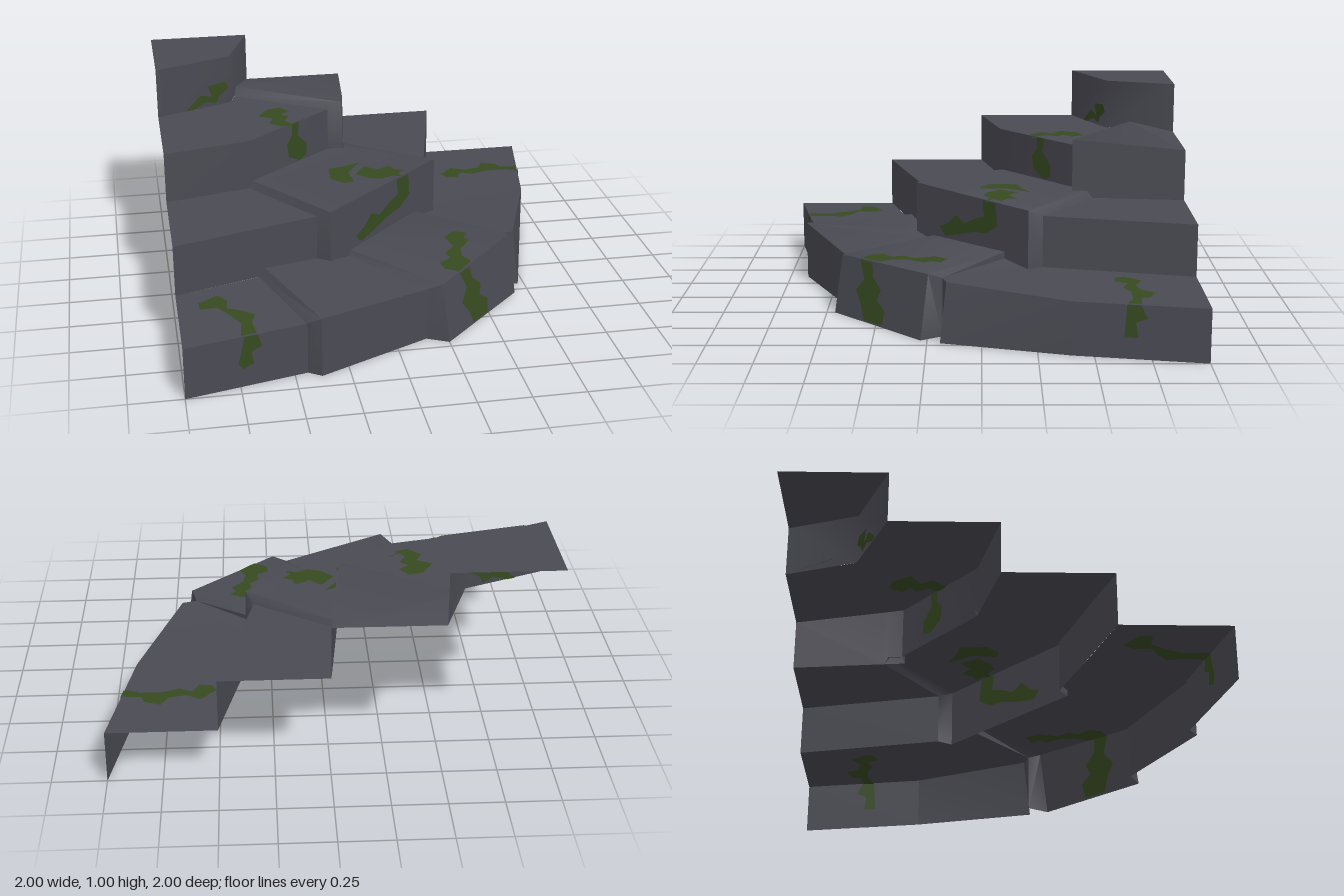
import * as THREE from 'three';
import { toCreasedNormals } from 'three/addons/utils/BufferGeometryUtils.js';

const stone = new THREE.MeshStandardMaterial({ color: 0x4a4a53, side: THREE.DoubleSide });
stone.name = 'dark stone';
const moss = new THREE.MeshStandardMaterial({ color: 0x364a1f, side: THREE.DoubleSide });
moss.name = 'moss green';

function toMesh(name, triangles, material) {
  let g = new THREE.BufferGeometry().setFromPoints(triangles.map((p) => new THREE.Vector3(...p)));
  g.computeVertexNormals();
  g = toCreasedNormals(g, 0.9);
  const mesh = new THREE.Mesh(g, material);
  mesh.name = name;
  return mesh;
}

// A step stone: a tread polygon whose first points pair with the foot points to form risers
function stepStone(name, foot, top) {
  const tris = [];
  const contour = top.map(([x, , z]) => new THREE.Vector2(x, -z));
  for (const f of THREE.ShapeUtils.triangulateShape(contour, [])) tris.push(...f.map((i) => top[i]));
  for (let i = 0; i < foot.length - 1; i++) {
    const [a, b, c, d] = [foot[i], foot[i + 1], top[i + 1], top[i]];
    if (c !== d) tris.push(a, b, c, a, c, d);
    else tris.push(a, b, c);
  }
  return toMesh(name, tris, stone);
}

// Plain stone with a level tread; the first n points are the outer edge
function plainStone(name, y, n, outline) {
  const at = (h) => ([x, z]) => [x, h, z];
  return stepStone(name, outline.slice(0, n).map(at(y - 0.25)), outline.map(at(y)));
}

// Flush moss plate: outline in two coordinates, mapped onto a stone face
function mossPatch(name, outline, map, dir) {
  const contour = outline.map((p) => new THREE.Vector2(...p));
  const faces = THREE.ShapeUtils.triangulateShape(contour, []);
  const tris = [];
  for (const s of [0.0045, -0.0045]) {
    for (const f of faces) {
      tris.push(...f.map((i) => map(...outline[i]).map((v, k) => v + dir[k] * s)));
    }
  }
  return toMesh(name, tris, moss);
}

export function createModel() {
  const group = new THREE.Group();
  group.name = 'cornerStairs';

  // Top step
  group.add(plainStone('topStep', 1, 3, [[-1, -0.5], [-0.62, -0.66], [-0.5, -1], [-1, -1]]));

  // Third step
  group.add(plainStone('thirdStepFront', 0.75, 3,
    [[-1, 0], [-0.58, -0.1], [-0.14, -0.46], [-0.59, -0.74], [-0.62, -0.66], [-1, -0.5]]));
  const t3 = [-0.07, 0.79, -0.45];
  group.add(stepStone('thirdStepSide',
    [[-0.59, 0.75, -0.74], [-0.14, 0.75, -0.46], [-0.14, 0.5, -0.46], [-0.06, 0.5, -0.45], [-0.05, 0.5, -0.55], [0, 0.5, -1]],
    [[-0.58, 0.79, -0.78], t3, t3, t3, [-0.05, 0.785, -0.55], [0, 0.75, -1], [-0.5, 0.75, -1]]));

  // Second step, with a raised corner stone
  group.add(plainStone('secondStepFront', 0.5, 2, [[-1, 0.5], [-0.31, 0.29], [-0.58, -0.1], [-1, 0]]));
  const l2 = [-0.25, 0.535, 0.33], r2 = [0.37, 0.535, -0.22];
  group.add(stepStone('secondStepCorner',
    [[-0.59, 0.5, -0.1], [-0.31, 0.5, 0.29], [-0.31, 0.25, 0.29], [-0.25, 0.25, 0.33],
      [0.37, 0.25, -0.22], [0.33, 0.25, -0.29], [0.33, 0.5, -0.29], [-0.05, 0.5, -0.55]],
    [[-0.57, 0.535, -0.11], l2, l2, l2, r2, r2, r2, [-0.06, 0.535, -0.53], [-0.06, 0.535, -0.45], [-0.14, 0.535, -0.46]]));
  group.add(plainStone('secondStepSide', 0.5, 2, [[0.33, -0.29], [0.5, -1], [0, -1], [-0.05, -0.55]]));

  // Bottom step
  group.add(plainStone('bottomStepFront', 0.25, 2, [[-1, 1], [-0.44, 0.87], [-0.6, 0.38], [-1, 0.5]]));
  const b = [-0.38, 0.29, 0.91];
  group.add(stepStone('bottomStepFrontCorner',
    [[-0.6, 0.25, 0.38], [-0.44, 0.25, 0.87], [-0.44, 0, 0.87], [-0.38, 0, 0.91], [0.15, 0, 0.66]],
    [[-0.57, 0.29, 0.37], b, b, b, [0.15, 0.26, 0.66], [-0.15, 0.26, 0.25], [-0.25, 0.28, 0.33], [-0.31, 0.28, 0.29]]));
  const tilt = (x, z) => [x, 0.295 + 0.025 * (x - z), z];
  const lc = tilt(0.223, 0.67), rc = tilt(0.644, 0.244);
  group.add(stepStone('bottomStepCorner',
    [[-0.15, 0.26, 0.25], [0.15, 0.26, 0.66], [0.15, 0, 0.66], [0.25, 0, 0.71],
      [0.68, 0, 0.28], [0.62, 0, 0.18], [0.62, 0.28, 0.18], [0.25, 0.27, -0.11]],
    [tilt(-0.14, 0.24), lc, lc, lc, rc, rc, rc, tilt(0.25, -0.11)]));
  group.add(stepStone('bottomStepSideCorner',
    [[0.62, 0, 0.18], [0.72, 0, 0.19], [0.89, 0, -0.4]],
    [[0.62, 0.28, 0.18], [0.69, 0.28, 0.16], [0.89, 0.25, -0.4], [0.33, 0.25, -0.29], [0.37, 0.25, -0.22], [0.25, 0.27, -0.11]]));
  group.add(plainStone('bottomStepSide', 0.25, 2, [[0.89, -0.4], [1, -1], [0.5, -1], [0.33, -0.29]]));

  // Moss on the treads, outlines in x and z
  const up = [0, 1, 0];
  const level = (y) => (x, z) => [x, y, z];
  const treadMoss = (name, map, pts) => group.add(mossPatch(name, pts, map, up));
  treadMoss('thirdTreadMoss', level(0.75),
    [[-0.45, -0.5], [-0.38, -0.52], [-0.34, -0.46], [-0.39, -0.42], [-0.35, -0.39], [-0.38, -0.33],
      [-0.34, -0.27], [-0.4, -0.25], [-0.46, -0.31], [-0.43, -0.37], [-0.5, -0.41]]);
  treadMoss('secondTreadMossLeft', level(0.535),
    [[-0.18, -0.18], [-0.09, -0.2], [-0.01, -0.24], [-0.05, -0.18], [-0.09, -0.12], [-0.08, 0], [-0.13, 0.01], [-0.19, -0.05]]);
  treadMoss('secondTreadMossRight', level(0.535),
    [[-0.06, -0.09], [0, -0.18], [0.06, -0.13], [0.13, -0.17], [0.14, -0.12], [0.19, -0.1],
      [0.15, -0.06], [0.17, -0.02], [0.12, -0.04], [0.06, -0.01], [0, -0.03]]);
  treadMoss('cornerTreadMoss', tilt,
    [[0.33, 0.22], [0.38, 0.16], [0.45, 0.19], [0.42, 0.23], [0.44, 0.27], [0.38, 0.35], [0.37, 0.42], [0.4, 0.48],
      [0.35, 0.54], [0.32, 0.57], [0.26, 0.53], [0.25, 0.47], [0.31, 0.43], [0.3, 0.37], [0.35, 0.32]]);
  treadMoss('frontTreadMoss', level(0.25),
    [[-0.9, 0.6], [-0.81, 0.54], [-0.77, 0.6], [-0.78, 0.67], [-0.72, 0.7], [-0.66, 0.75], [-0.68, 0.82],
      [-0.67, 0.92], [-0.74, 0.935], [-0.73, 0.82], [-0.77, 0.74], [-0.82, 0.66], [-0.9, 0.66]]);
  treadMoss('sideTreadMoss', level(0.25),
    [[0.51, -0.66], [0.58, -0.74], [0.65, -0.7], [0.73, -0.72], [0.76, -0.78], [0.84, -0.75], [0.85, -0.71], [0.94, -0.7],
      [0.93, -0.64], [0.86, -0.67], [0.76, -0.67], [0.68, -0.64], [0.62, -0.67], [0.59, -0.61], [0.53, -0.62]]);

  // Moss on the risers, outlines in x and y (z and y for the side)
  const out = [0.7, 0, 0.7];
  const riserMoss = (name, map, pts) => group.add(mossPatch(name, pts, map, out));
  riserMoss('topRiserMoss', (x, y) => [x, y, -0.5 - 0.421 * (x + 1)],
    [[-0.86, 0.75], [-0.78, 0.82], [-0.72, 0.8], [-0.74, 0.86], [-0.65, 0.87], [-0.63, 0.83], [-0.68, 0.8], [-0.7, 0.76], [-0.75, 0.78], [-0.82, 0.75]]);
  riserMoss('thirdRiserMoss', (x, y) => [x, y, -0.1 - 0.818 * (x + 0.58)],
    [[-0.35, 0.75], [-0.31, 0.75], [-0.32, 0.68], [-0.27, 0.62], [-0.27, 0.56], [-0.31, 0.54], [-0.37, 0.58], [-0.38, 0.65], [-0.35, 0.69]]);
  riserMoss('secondRiserMoss', (x, y) => [x, y, 0.33 - 0.887 * (x + 0.25)],
    [[0.13, 0.53], [0.2, 0.53], [0.21, 0.42], [0.15, 0.37], [0.08, 0.36], [0.01, 0.33], [-0.08, 0.3],
      [-0.11, 0.34], [-0.06, 0.37], [-0.02, 0.42], [0.03, 0.39], [0.09, 0.43], [0.14, 0.45]]);
  riserMoss('cornerRiserMoss', (x, y) => [x, y, 0.96 - x - 0.236 * y],
    [[0.32, 0.285], [0.38, 0.285], [0.4, 0.22], [0.45, 0.17], [0.44, 0.12], [0.49, 0.08], [0.49, 0.01], [0.4, 0.01], [0.37, 0.08], [0.33, 0.14], [0.36, 0.2]]);
  riserMoss('frontRiserMoss', (x, y) => [x, y, 1 - 0.232 * (x + 1)],
    [[-0.76, 0.12], [-0.74, 0.2], [-0.73, 0.25], [-0.67, 0.25], [-0.65, 0.19], [-0.7, 0.17], [-0.69, 0.11], [-0.74, 0.09]]);
  riserMoss('sideRiserMoss', (z, y) => [0.89 - (z + 0.4) * 0.1833, y, z],
    [[-0.64, 0.25], [-0.7, 0.25], [-0.73, 0.19], [-0.68, 0.17], [-0.69, 0.1], [-0.63, 0.1]]);

  return group;
}
